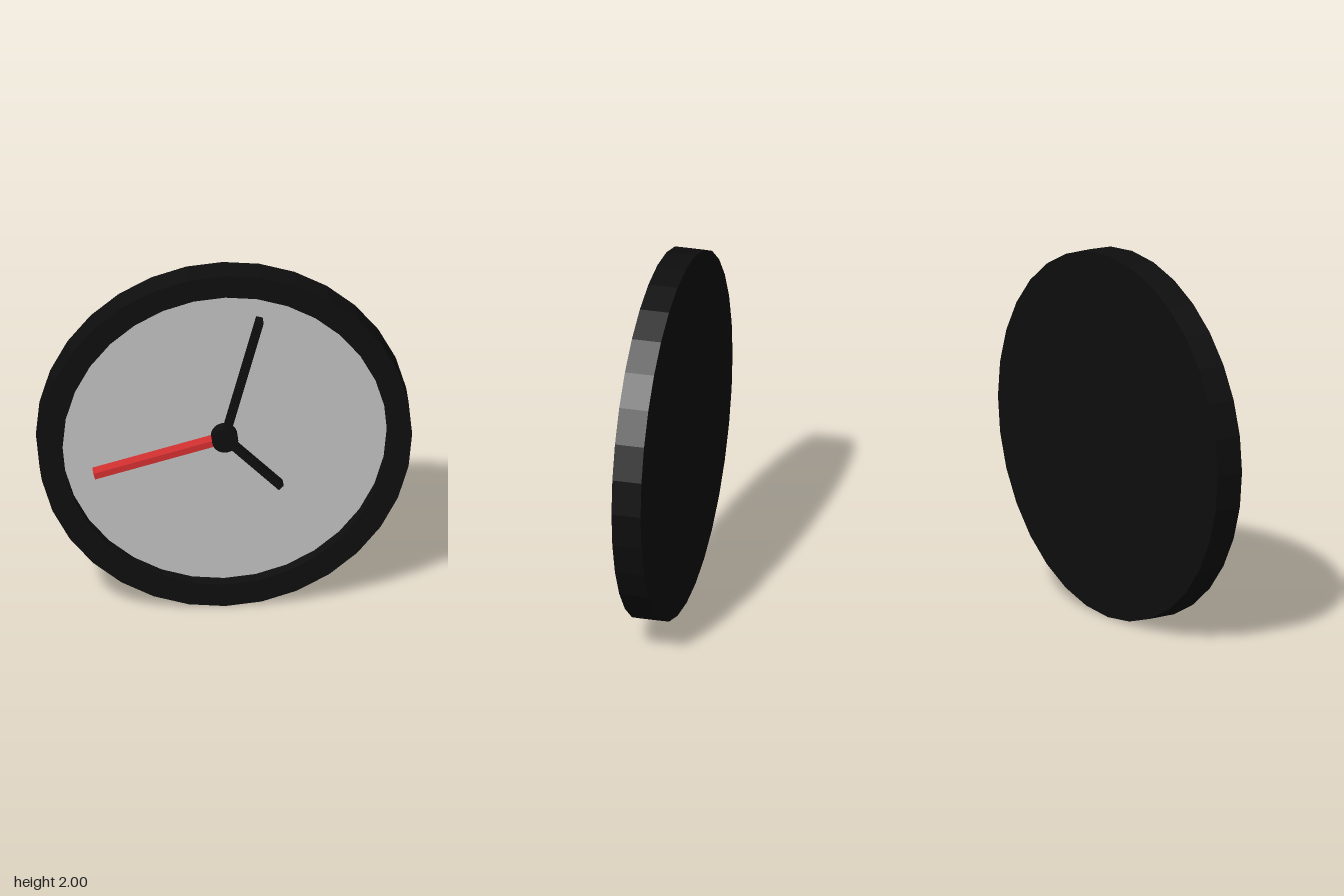
import * as THREE from 'three';

const SIDES = 32;
const FACE_Z = 0.005;

function material(name, color) {
  const m = new THREE.MeshStandardMaterial({ color, flatShading: true });
  m.name = name;
  return m;
}

export function createModel() {
  const black = material('black', 0x0e0e0e);
  const grey = material('dial grey', 0xc0c0c0);
  const red = material('red', 0xd33030);

  const clock = new THREE.Group();
  clock.name = 'wallClock';

  function add(name, geometry, mat) {
    const mesh = new THREE.Mesh(geometry, mat);
    mesh.name = name;
    mesh.position.y = 1;
    clock.add(mesh);
    return mesh;
  }

  // Case: closed back and raised rim around a recess
  const profile = [[0, -0.08], [1, -0.08], [1, 0.08], [0.87, 0.08], [0.87, 0], [0, 0]]
    .map(([r, z]) => new THREE.Vector2(r, z));
  add('case', new THREE.LatheGeometry(profile, SIDES).rotateX(Math.PI / 2), black);

  // Dial plate at the bottom of the recess
  const dial = new THREE.CylinderGeometry(0.87, 0.87, FACE_Z, SIDES).rotateX(Math.PI / 2);
  add('dial', dial.translate(0, 0, FACE_Z / 2), grey);

  // Hands: bars from the centre, angle in degrees clockwise from twelve
  function hand(name, length, angle, mat) {
    const depth = 0.07;
    const bar = new THREE.BoxGeometry(0.036, length, depth);
    bar.translate(0, length / 2, FACE_Z + depth / 2);
    add(name, bar, mat).rotation.z = -THREE.MathUtils.degToRad(angle);
  }
  hand('minuteHand', 0.73, 15, black);
  hand('hourHand', 0.425, 135, black);
  hand('secondHand', 0.725, 255, red);

  // Hub over the hands
  const hub = new THREE.CylinderGeometry(0.07, 0.07, 0.08, SIDES).rotateX(Math.PI / 2);
  add('hub', hub.translate(0, 0, 0.04), black);

  return clock;
}
